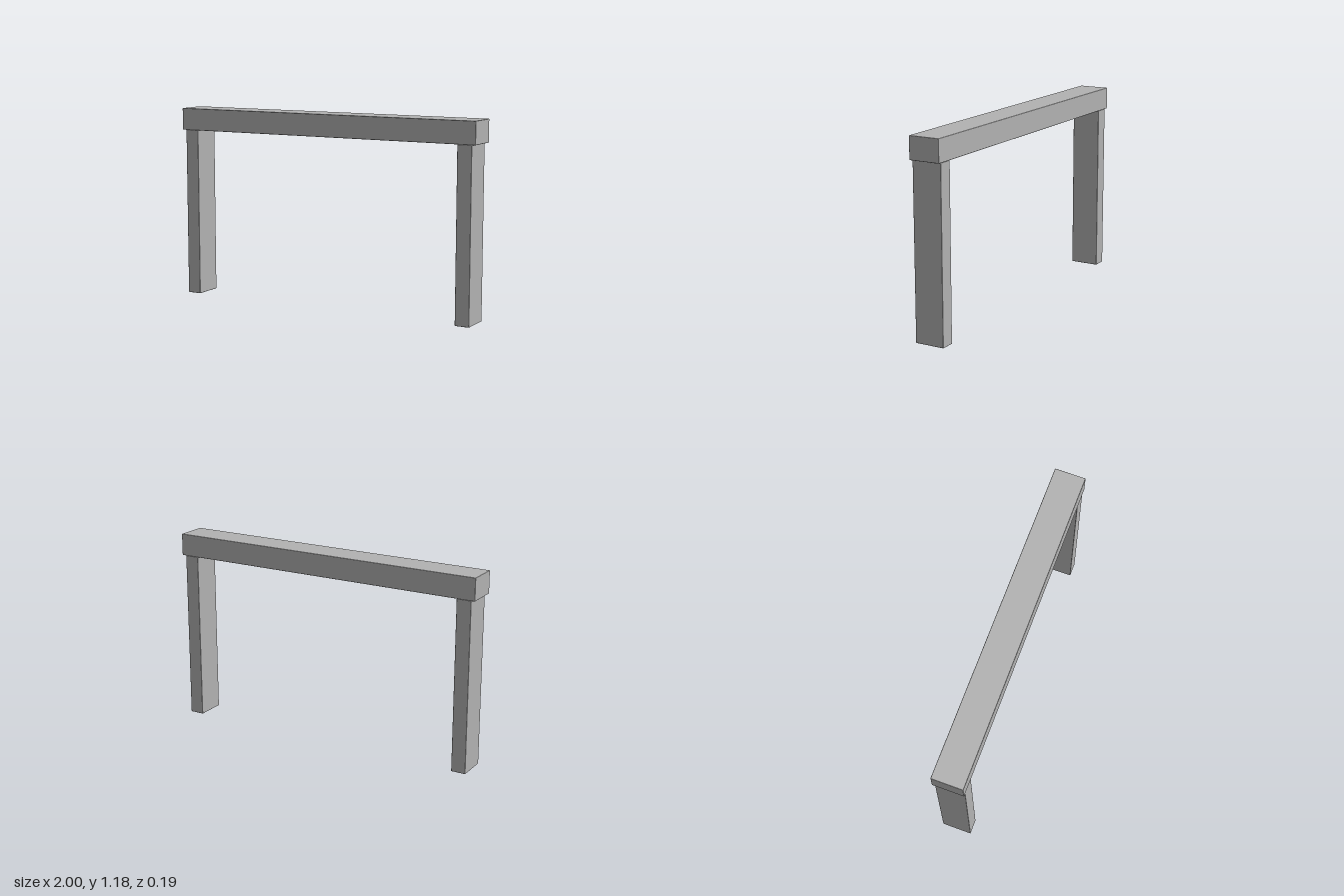
import * as THREE from 'three';
import { RoundedBoxGeometry } from 'three/addons/geometries/RoundedBoxGeometry.js';

export function createModel() {
  const group = new THREE.Group();
  const grey = new THREE.MeshStandardMaterial({ color: 0xb2b2b2 });
  grey.name = 'grey';

  const beamBottom = 1.042, beamTop = 1.178, edge = 0.004;

  // Slightly eased block, placed by its centre x and its bottom and top
  function block(name, width, depth, x, bottom, top) {
    const geometry = new RoundedBoxGeometry(width, top - bottom, depth, 2, edge);
    const mesh = new THREE.Mesh(geometry, grey);
    mesh.name = name;
    mesh.position.set(x, (bottom + top) / 2, 0);
    group.add(mesh);
  }

  // Long beam across the top
  block('beam', 2, 0.19, 0, beamBottom, beamTop);

  // One post near each end, a little narrower than the beam
  for (const side of [-1, 1]) {
    block(side > 0 ? 'leftPost' : 'rightPost', 0.09, 0.182, side * 0.931, 0, beamBottom);
  }

  return group;
}
